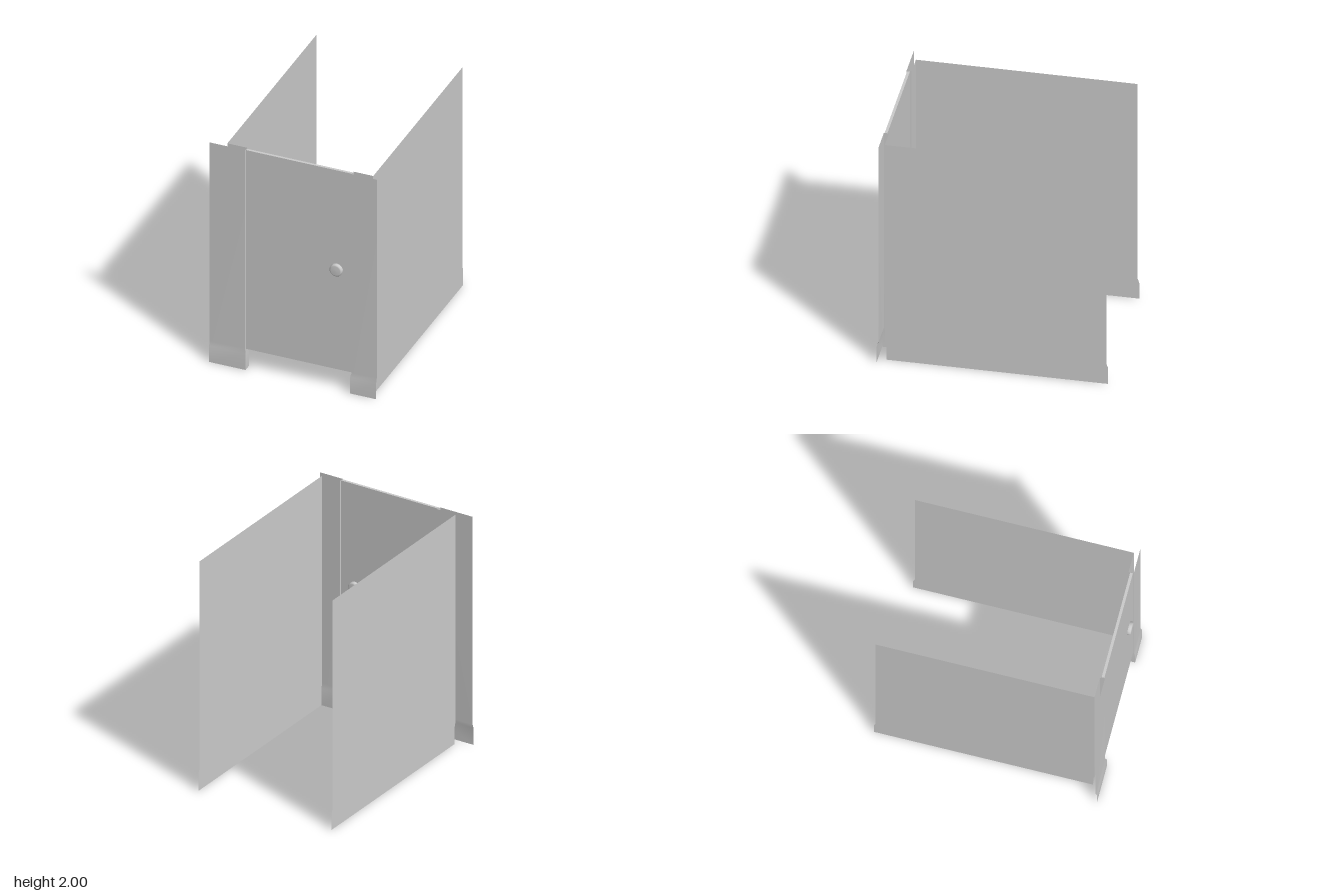
import * as THREE from 'three';

const material = new THREE.MeshStandardMaterial({ color: 0xcccccc });
const sheetMaterial = new THREE.MeshStandardMaterial({ color: 0xcccccc, side: THREE.DoubleSide });

function addMesh(parent, name, geometry, mat = material) {
  const mesh = new THREE.Mesh(geometry, mat);
  mesh.name = name;
  parent.add(mesh);
  return mesh;
}

// Upright sheet between two plan lines a and b; each line is [x, z, flareX, flareZ],
// the flare widening the sheet into a shoe near the floor.
function sheet(a, b) {
  const levels = [[0, 1], [0.145, 1], [0.185, 0], [2, 0]];
  const positions = [];
  const index = [];
  levels.forEach(([y, flare], i) => {
    for (const [x, z, fx, fz] of [a, b]) positions.push(x + fx * flare, y, z + fz * flare);
    if (i) {
      const k = 2 * i;
      index.push(k - 2, k - 1, k + 1, k - 2, k + 1, k);
    }
  });
  const geometry = new THREE.BufferGeometry();
  geometry.setAttribute('position', new THREE.Float32BufferAttribute(positions, 3));
  geometry.setIndex(index);
  geometry.computeVertexNormals();
  return geometry;
}

// One side of the stall: front face, jamb and return of the post, then the long wall
function side(name, outerX, jambX, wallX) {
  const group = new THREE.Group();
  group.name = name;
  const inward = -Math.sign(outerX) * 0.01;
  const plan = [
    [outerX, 0.897, 0, 0.014],
    [jambX, 0.897, inward, 0.014],
    [jambX, 0.856, inward, -0.013],
    [wallX, 0.856, 0, -0.013],
    [wallX, -0.908, 0, -0.013],
  ];
  ['postFace', 'postJamb', 'postReturn', 'sideWall'].forEach((part, i) => {
    // keep the sheets' front sides pointing outward on both sides
    const ends = outerX < 0 ? [plan[i], plan[i + 1]] : [plan[i + 1], plan[i]];
    addMesh(group, part, sheet(...ends), sheetMaterial);
  });
  return group;
}

export function createModel() {
  const model = new THREE.Group();
  model.name = 'cubicle';

  model.add(side('rightSide', -0.71, -0.41, -0.578));
  model.add(side('leftSide', 0.708, 0.495, 0.66));

  // Door panel, raised off the floor
  const door = new THREE.Group();
  door.name = 'door';
  addMesh(door, 'doorPanel', new THREE.BoxGeometry(0.896, 1.818, 0.022)).position.set(0.045, 1.091, 0.88);

  // Round knobs with softened rims, inside and outside
  const profile = [[0.051, 0], [0.054, 0.01], [0.054, 0.029], [0.049, 0.037], [0.04, 0.04], [0, 0.041]]
    .map(([r, h]) => new THREE.Vector2(r, h));
  for (const [name, dir] of [['outerKnob', 1], ['innerKnob', -1]]) {
    const knob = addMesh(door, name, new THREE.LatheGeometry(profile, 14));
    knob.rotation.x = dir * Math.PI / 2;
    knob.position.set(0.365, 1.095, 0.88);
  }
  model.add(door);
  return model;
}
